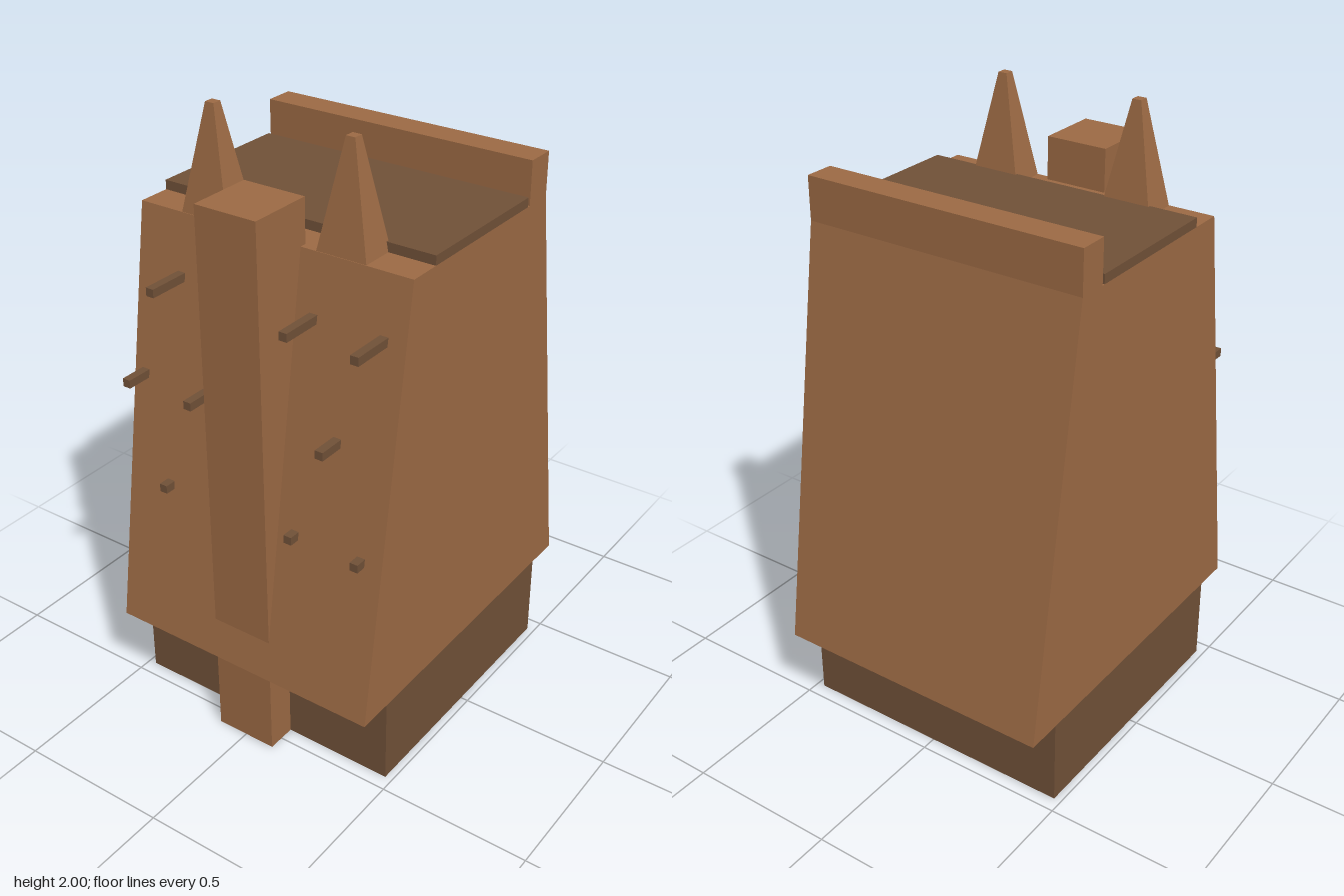
import * as THREE from 'three';

const clay = new THREE.MeshStandardMaterial({ name: 'clay', color: 0x9c6a44 });
const darkClay = new THREE.MeshStandardMaterial({ name: 'dark clay', color: 0x715138 });

export function createModel() {
  const model = new THREE.Group();
  model.name = 'mudBrickTower';

  const add = (name, geometry, material) => {
    const mesh = new THREE.Mesh(geometry, material);
    mesh.name = name;
    model.add(mesh);
    return mesh;
  };

  // Box given by its limits on each axis
  const box = (name, [x0, x1], [y0, y1], [z0, z1], material) => {
    const mesh = add(name, new THREE.BoxGeometry(x1 - x0, y1 - y0, z1 - z0), material);
    mesh.position.set((x0 + x1) / 2, (y0 + y1) / 2, (z0 + z1) / 2);
    return mesh;
  };

  // Side outline of [z, y] points, extruded evenly across x
  const sideExtrude = (name, points, width, material) => {
    const shape = new THREE.Shape(points.map(([z, y]) => new THREE.Vector2(z, y)));
    const geometry = new THREE.ExtrudeGeometry(shape, { depth: width, bevelEnabled: false });
    geometry.translate(0, 0, -width / 2).rotateY(-Math.PI / 2);
    return add(name, geometry, material);
  };

  const halfW = 0.475;
  const across = [-halfW, halfW];

  // Recessed plinth and the sloping walls above it
  box('plinth', across, [0, 0.29], [-0.452, 0.452], darkClay);
  sideExtrude('slopingWalls',
    [[0.57, 0.29], [0.357, 1.67], [-0.357, 1.67], [-0.57, 0.29]], halfW * 2, clay);

  // Roof slab and rear parapet
  box('roofSlab', across, [1.67, 1.7], [-0.25, 0.25], darkClay);
  box('rearParapet', across, [1.67, 1.81], [-0.357, -0.26], clay);

  // Central buttress, stepped back where it enters the walls
  sideExtrude('frontButtress',
    [[0.452, 0], [0.55, 0], [0.55, 1.81], [0.335, 1.81], [0.335, 0.35], [0.452, 0.35]], 0.21, clay);

  // Tapered pinnacles on the front edge of the roof
  for (const side of [-1, 1]) {
    const geometry = new THREE.BoxGeometry(0.166, 0.33, 0.118).toNonIndexed();
    const p = geometry.attributes.position;
    for (let i = 0; i < p.count; i++) {
      if (p.getY(i) > 0) {
        p.setX(i, Math.sign(p.getX(i)) * 0.015);
        p.setZ(i, Math.sign(p.getZ(i)) * 0.015);
      }
    }
    geometry.computeVertexNormals();
    const name = side > 0 ? 'leftPinnacle' : 'rightPinnacle';
    add(name, geometry, clay).position.set(side * 0.239, 1.835, 0.296);
  }

  // Staggered rows of wooden pegs
  const outerRow = [-0.312, 0.166, 0.402];
  const middleRow = [-0.433, -0.195, 0.283];
  const h = 0.0135;
  for (const [y, row] of [[1.48, outerRow], [1.145, middleRow], [0.813, outerRow]]) {
    for (const x of row) {
      box('wallPeg', [x - h, x + h], [y - h, y + h], [0.34, 0.525], darkClay);
    }
  }

  return model;
}
